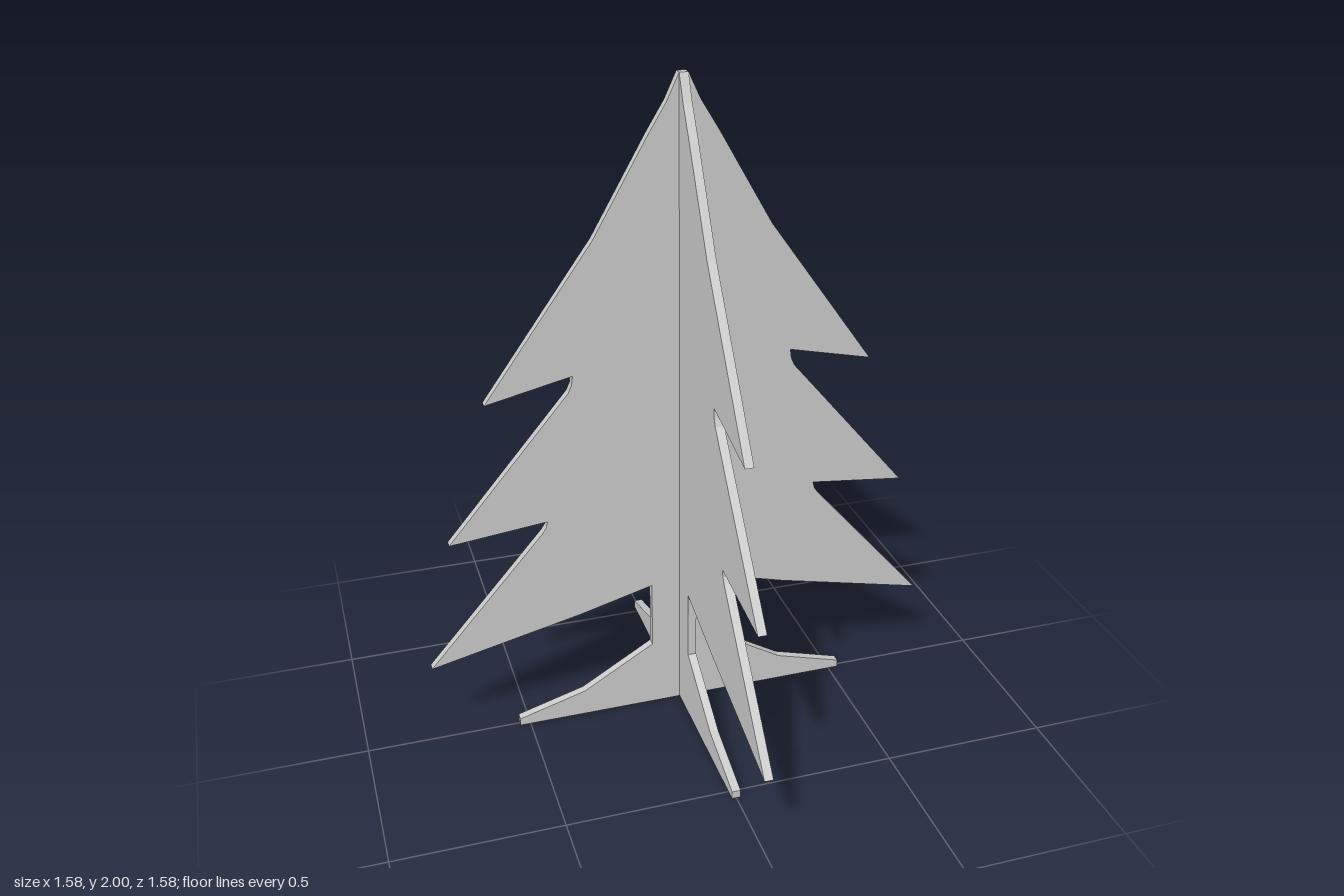
import * as THREE from 'three';

const THICKNESS = 0.026;
const HALF = THICKNESS / 2;

// Outline of one half of the tree, from the tip down to the foot
const OUTLINE = [
  [HALF, 2], [0.048, 1.925], [0.1, 1.84], [0.26, 1.56],
  [0.583, 1.108], [0.328, 1.166], [0.332, 1.138], [0.342, 1.115], // upper bough
  [0.71, 0.678], [0.418, 0.71], [0.423, 0.69], [0.434, 0.673],    // middle bough
  [0.789, 0.265], [0.328, 0.371], [0.102, 0.432],                 // lower bough
  [0.102, 0.217], [0.323, 0.085], [0.532, 0.024], [0.532, 0],     // trunk and foot
];

function panelGeometry(points) {
  const shape = new THREE.Shape(points.map(([x, y]) => new THREE.Vector2(x, y)));
  const geometry = new THREE.ExtrudeGeometry(shape, { depth: THICKNESS, bevelEnabled: false });
  return geometry.translate(0, 0, -HALF);
}

export function createModel() {
  const tree = new THREE.Group();
  tree.name = 'treeOfCrossedPanels';
  const material = new THREE.MeshStandardMaterial({ color: 0xcccccc, flatShading: true });

  // Full panel across the width
  const mirrored = OUTLINE.map(([x, y]) => [-x, y]).reverse();
  const widePanel = new THREE.Mesh(panelGeometry([...OUTLINE, ...mirrored]), material);
  widePanel.name = 'widePanel';
  tree.add(widePanel);

  // Crossing panel, as two halves that butt against the full one
  const halfGeometry = panelGeometry([...OUTLINE, [HALF, 0]]);
  for (const [name, side] of [['frontHalfPanel', -1], ['backHalfPanel', 1]]) {
    const half = new THREE.Mesh(halfGeometry, material);
    half.name = name;
    half.rotation.y = side * Math.PI / 2;
    tree.add(half);
  }
  return tree;
}
